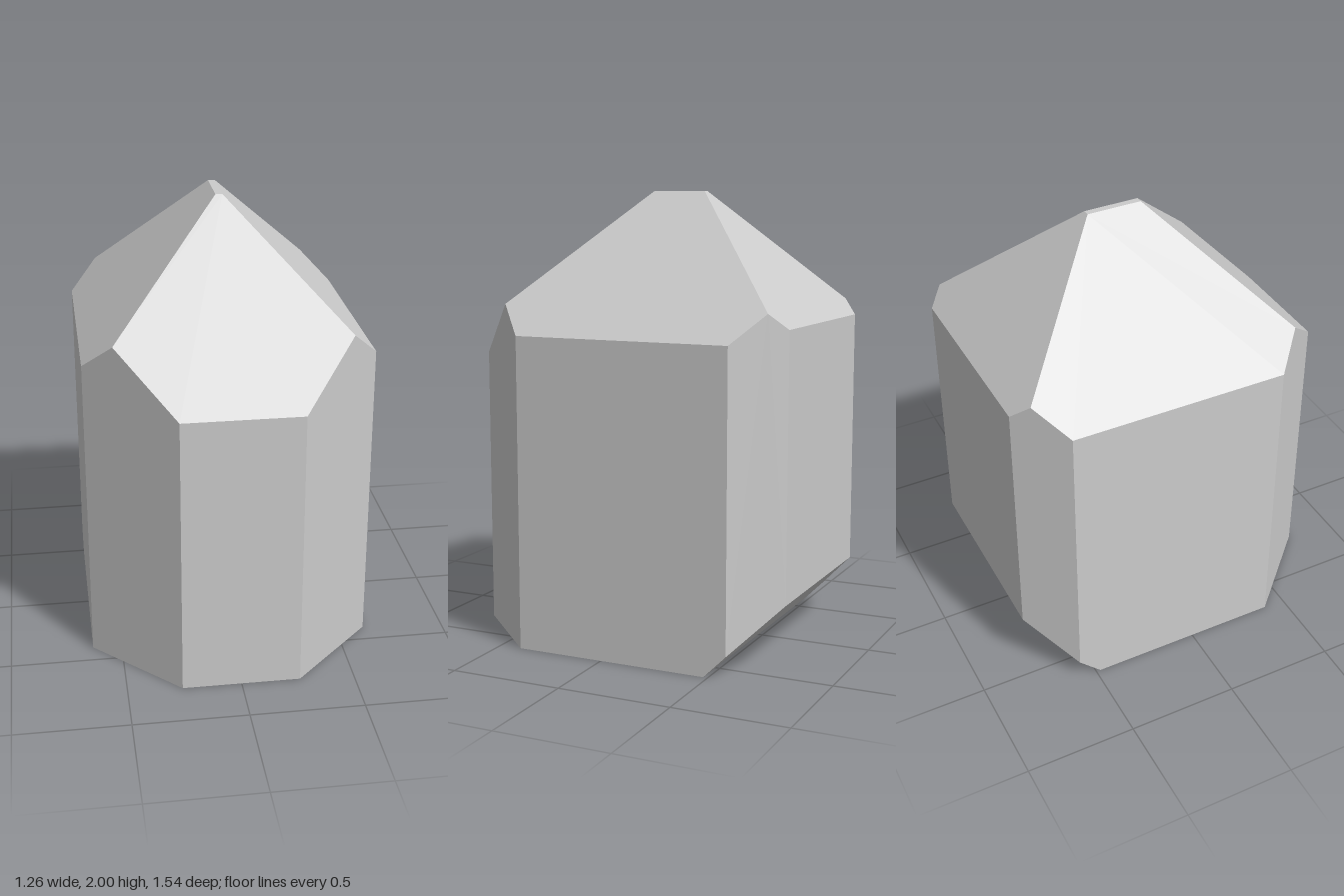
import * as THREE from 'three';
import { ConvexGeometry } from 'three/addons/geometries/ConvexGeometry.js';

export function createModel() {
  const group = new THREE.Group();
  group.name = 'crystal';

  // corners of the left half, mirrored to the right
  const half = [
    // flat ridge
    [0.015, 2, 0.035], [0.015, 2, -0.21],
    // hips, where two roof facets meet a corner facet
    [0.505, 1.51, 0.525], [0.5075, 1.5075, -0.7025],
    // upper rim of the prism, front to back
    [0.26, 1.265, 0.77], [0.63, 1.385, 0.40], [0.63, 1.385, -0.58], [0.44, 1.44, -0.77],
    // base
    [0.26, 0, 0.77], [0.63, 0, 0.40], [0.63, 0, -0.48],
    // bevel cut along the lower back
    [0.63, 0.10, -0.58], [0.44, 0.29, -0.77],
  ];
  const points = [];
  for (const [x, y, z] of half) {
    points.push(new THREE.Vector3(x, y, z), new THREE.Vector3(-x, y, z));
  }

  const material = new THREE.MeshStandardMaterial({ color: 0xcccccc, flatShading: true });
  const body = new THREE.Mesh(new ConvexGeometry(points), material);
  body.name = 'crystalBody';
  group.add(body);
  return group;
}
